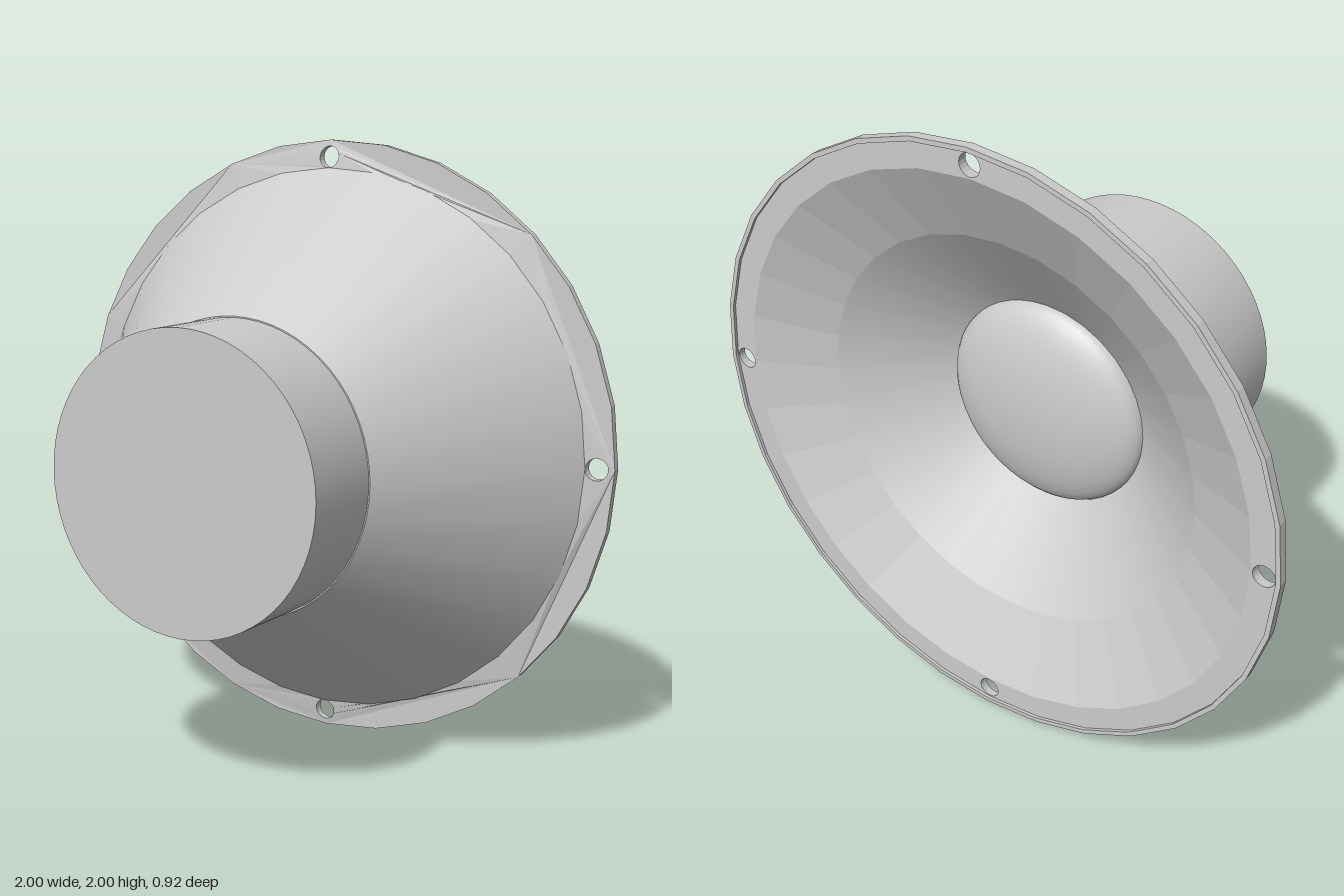
import * as THREE from 'three';

const smooth = new THREE.MeshStandardMaterial({ color: 0xcccccc, side: THREE.DoubleSide });
const faceted = new THREE.MeshStandardMaterial({ color: 0xcccccc, side: THREE.DoubleSide, flatShading: true });

// Surface of revolution about the z axis; profile is a list of [radius, z]
function turned(name, profile, sides, material = smooth) {
  const points = profile.map(([r, z]) => new THREE.Vector2(r, z));
  const geometry = new THREE.LatheGeometry(points, sides).rotateX(Math.PI / 2);
  const mesh = new THREE.Mesh(geometry, material);
  mesh.name = name;
  return mesh;
}

// Regular polygon outline around (cx, cy)
function ring(PathType, radius, sides, cx = 0, cy = 0) {
  const points = [];
  for (let i = 0; i < sides; i++) {
    const a = (i / sides) * Math.PI * 2;
    points.push(new THREE.Vector2(cx + radius * Math.cos(a), cy + radius * Math.sin(a)));
  }
  return new PathType(points);
}

// Mounting flange with four screw holes and a gently sloped front face
function mountingFlange() {
  const back = -0.45, inner = 0.905;
  const shape = ring(THREE.Shape, 1, 32);
  shape.holes.push(ring(THREE.Path, inner, 32));
  for (let i = 0; i < 4; i++) {
    const a = (i * Math.PI) / 2;
    shape.holes.push(ring(THREE.Path, 0.035, 20, 0.945 * Math.cos(a), 0.945 * Math.sin(a)));
  }
  const geometry = new THREE.ExtrudeGeometry(shape, { depth: 0.03, bevelEnabled: false });
  const p = geometry.attributes.position;
  for (let i = 0; i < p.count; i++) {
    const r = Math.hypot(p.getX(i), p.getY(i));
    p.setZ(i, p.getZ(i) > 0.015 ? -0.415 - (r - inner) * 0.15 : back);
  }
  geometry.computeVertexNormals();
  const mesh = new THREE.Mesh(geometry, faceted);
  mesh.name = 'mountingFlange';
  return mesh;
}

export function createModel() {
  const model = new THREE.Group();
  model.name = 'loudspeaker';

  // Dome bulging out of the back opening
  const dome = [];
  for (let i = 0; i <= 12; i++) {
    const a = (i / 12) * Math.PI / 2;
    dome.push([0.35 * Math.sin(a), -0.1 - 0.11 * Math.cos(a)]);
  }

  const parts = new THREE.Group();
  parts.add(
    mountingFlange(),
    turned('flangeLip', [[0.985, -0.45], [0.985, -0.46], [1, -0.46], [1, -0.45]], 32, faceted),
    // Outer housing
    turned('basket', [[0.91, -0.415], [0.47, 0.16]], 32),
    turned('magnetShoulder', [[0.47, 0.16], [0.45, 0.16]], 64),
    turned('magnetSide', [[0.466, 0.16], [0.461, 0.46]], 64),
    turned('magnetCap', [[0.461, 0.46], [0, 0.46]], 64),
    // Sound-producing side
    turned('surround', [[0.66, -0.33], [0.905, -0.45]], 32, faceted),
    turned('cone', [[0.34, -0.1], [0.66, -0.33]], 32),
    turned('dustDome', dome, 48),
  );
  parts.position.y = 1;
  model.add(parts);
  return model;
}
